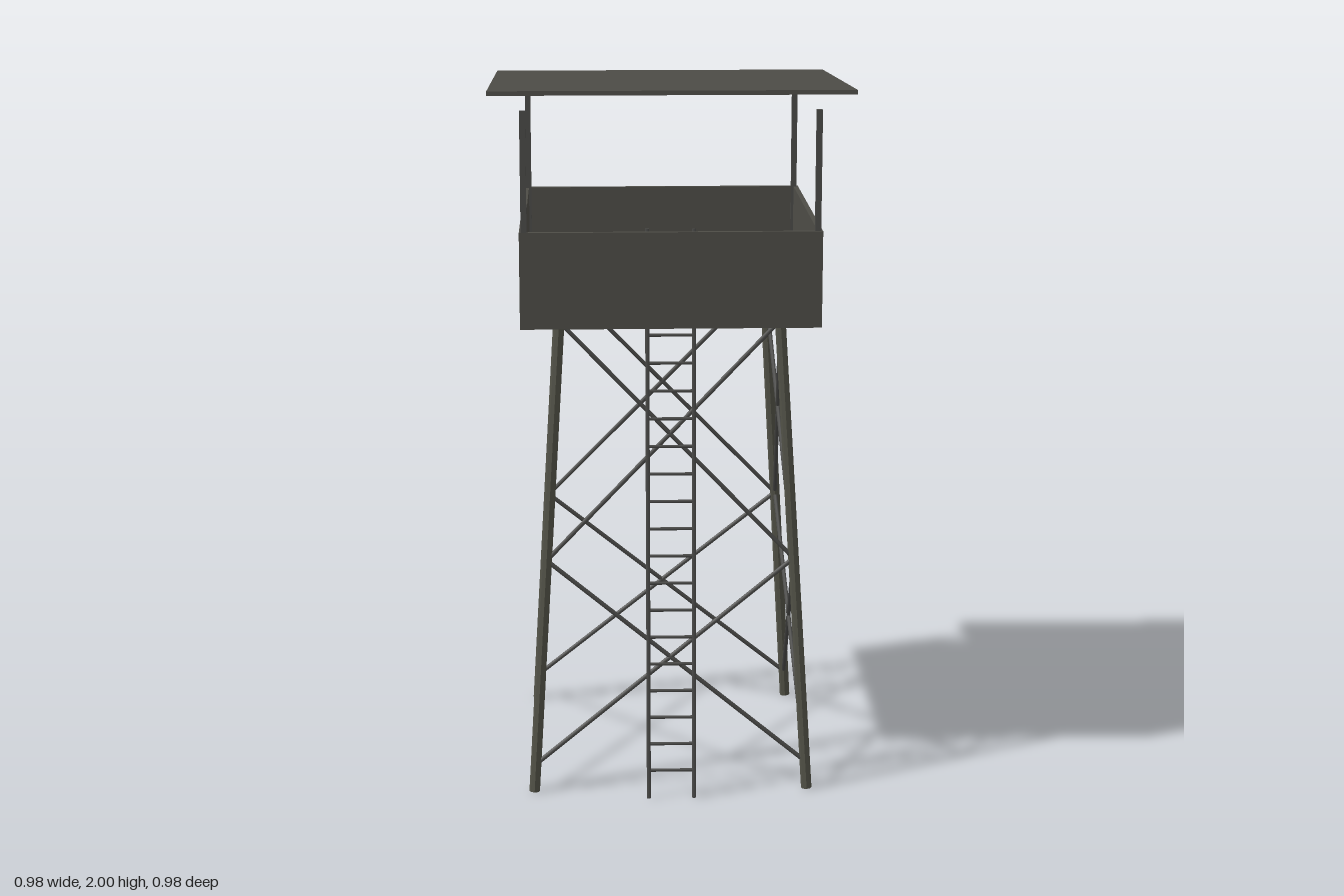
import * as THREE from 'three';

const mat = (name, color) => {
  const m = new THREE.MeshStandardMaterial({ color });
  m.name = name;
  return m;
};

export function createModel() {
  const tower = new THREE.Group();
  tower.name = 'watchtower';
  const panel = mat('panel grey', 0x4d4c46);
  const timber = mat('timber olive', 0x525247);
  const steel = mat('steel grey', 0x4a4a48);
  timber.flatShading = true;

  const V = (x, y, z) => new THREE.Vector3(x, y, z);
  const UP = V(0, 1, 0);

  const add = (name, geometry, material, pos, parent = tower) => {
    const mesh = new THREE.Mesh(geometry, material);
    mesh.name = name;
    mesh.position.copy(pos);
    parent.add(mesh);
    return mesh;
  };
  const box = (name, w, h, d, material, pos) => add(name, new THREE.BoxGeometry(w, h, d), material, pos);

  // Straight bar between two points
  const bar = (name, a, b, radius, sides, material) => {
    const g = new THREE.CylinderGeometry(radius, radius, a.distanceTo(b), sides);
    const mesh = add(name, g, material, a.clone().add(b).multiplyScalar(0.5));
    mesh.quaternion.setFromUnitVectors(UP, b.clone().sub(a).normalize());
    return mesh;
  };

  const DECK = 1.345, RAIL = 1.61, HALF = 0.41, WALL = 0.014;
  const legX = (y) => 0.387 - 0.061 * y;

  // Four splayed legs and the upright roof posts
  for (const sx of [-1, 1]) {
    for (const sz of [-1, 1]) {
      const foot = legX(0), top = legX(DECK + 0.005);
      bar('leg', V(sx * foot, 0.001, sz * foot), V(sx * top, DECK + 0.005, sz * top), 0.015, 8, timber);
      box('roofPost', 0.016, 1.937 - DECK, 0.016, steel, V(sx * 0.397, (1.937 + DECK) / 2, sz * 0.397));
    }
  }

  // Two tiers of crossed braces on each side
  const tiers = [[0.08, 0.672], [0.672, DECK]];
  for (let side = 0; side < 4; side++) {
    const turn = (x, y) => V(x, y, legX(y)).applyAxisAngle(UP, side * Math.PI / 2);
    for (const [low, high] of tiers) {
      for (const s of [-1, 1]) {
        bar('brace', turn(s * legX(low), low), turn(-s * legX(high), high), 0.0065, 6, steel);
      }
    }
  }

  // Cabin floor and parapet walls
  box('floor', HALF * 2, 0.02, HALF * 2, panel, V(0, DECK + 0.01, 0));
  const wallY = (DECK + RAIL) / 2, wallH = RAIL - DECK, mid = HALF - WALL / 2;
  for (const s of [-1, 1]) {
    box('frontBackWall', HALF * 2, wallH, WALL, panel, V(0, wallY, s * mid));
    box('sideWall', WALL, wallH, (HALF - WALL) * 2, panel, V(s * mid, wallY, 0));
  }

  // Leaning ladder passing up into the cabin
  const ladderZ = (y) => 0.45 - 0.061 * y;
  for (const s of [-1, 1]) {
    bar('ladderRail', V(s * 0.064, 0.001, ladderZ(0)), V(s * 0.064, RAIL, ladderZ(RAIL)), 0.0065, 6, steel);
  }
  for (let i = 0; i < 17; i++) {
    const y = 0.082 + i * 0.0773;
    bar('ladderRung', V(-0.064, y, ladderZ(y)), V(0.064, y, ladderZ(y)), 0.0045, 6, steel);
  }

  // Sloping roof, higher at the front
  const roof = box('roof', 0.976, 0.012, 0.978, panel, V(0, 1.968, 0));
  roof.rotation.x = -0.052;

  return tower;
}
